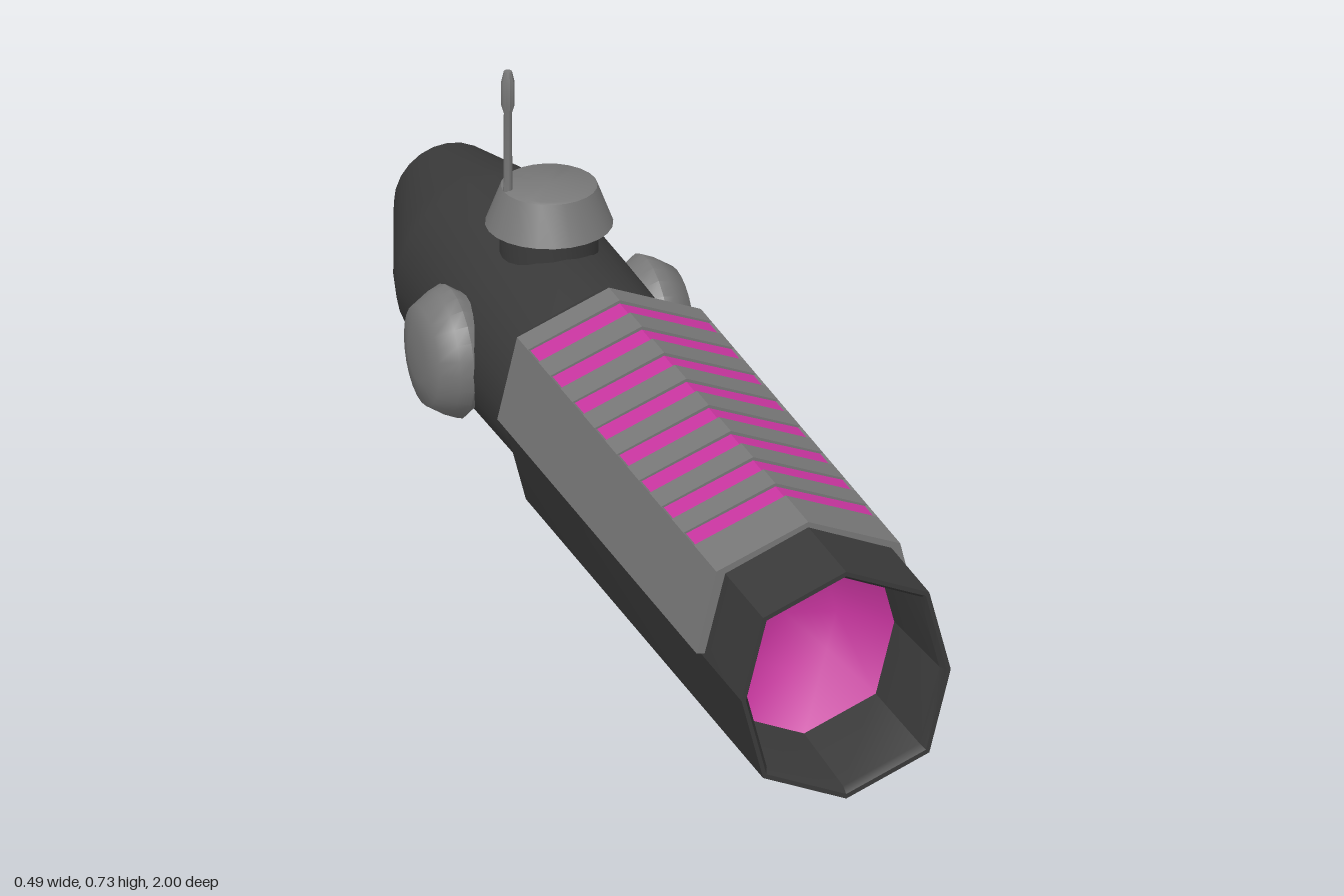
import * as THREE from 'three';
import { toCreasedNormals } from 'three/addons/utils/BufferGeometryUtils.js';

const mat = (color) => new THREE.MeshStandardMaterial({ color });

// Octagon with a ridge on top, slightly narrowed at the sides
const octagon = (z, s) => [[0.19, 0], [0.151, 0.151], [0, 0.214], [-0.151, 0.151],
  [-0.19, 0], [-0.151, -0.151], [0, -0.214], [0.151, -0.151]]
  .map(([x, y]) => [x * s, 0.217 + y * s, z]);

const circle = (z, r, y, n = 24) => Array.from({ length: n }, (_, i) => {
  const a = (i / n) * Math.PI * 2;
  return [r * Math.cos(a), y + r * Math.sin(a), z];
});

// Skin through closed cross-sections, outward when the rings run towards -z
function loft(rings, crease) {
  const n = rings[0].length, index = [];
  for (let i = 0; i < rings.length - 1; i++) {
    for (let j = 0; j < n; j++) {
      const a = i * n + j, b = i * n + (j + 1) % n, c = a + n, d = b + n;
      index.push(a, c, b, b, c, d);
    }
  }
  const g = new THREE.BufferGeometry();
  g.setAttribute('position', new THREE.Float32BufferAttribute(rings.flat(2), 3));
  g.setIndex(index);
  return toCreasedNormals(g, crease);
}

// Prism of an outline between two depths
function prism(points, z0, z1) {
  const shape = new THREE.Shape(points.map(([x, y]) => new THREE.Vector2(x, y)));
  const g = new THREE.ExtrudeGeometry(shape, { depth: z1 - z0, bevelEnabled: false });
  return g.translate(0, 0, z0);
}

const lathe = (points, sides, crease = 0.6) => toCreasedNormals(
  new THREE.LatheGeometry(points.map(([r, y]) => new THREE.Vector2(r, y)), sides), crease);

export function createModel() {
  const model = new THREE.Group();
  const dark = mat(0x3a3a3a), grey = mat(0x787878), pink = mat(0xc8359f);
  const add = (name, geometry, material, parent = model) => {
    const mesh = new THREE.Mesh(geometry, material);
    mesh.name = name;
    parent.add(mesh);
    return mesh;
  };

  // Hollow octagonal barrel: inner wall, rim, outside, chamfered back
  add('barrel', loft([octagon(0.78, 0.86), octagon(0.985, 0.92), octagon(1, 0.96), octagon(1, 1),
    octagon(-0.19, 1), octagon(-0.23, 0.95), octagon(-0.23, 0.001)], 0.5), dark);

  // Concave glowing lens inside the mouth
  add('lens', loft([octagon(0.69, 0.001), octagon(0.715, 0.45), octagon(0.79, 0.87)], 1.2), pink);

  // Round rear body tapering to a raised, recessed tail
  add('rearBody', loft([circle(-0.2, 0.172, 0.218), circle(-0.25, 0.178, 0.218),
    circle(-0.5, 0.181, 0.219), circle(-0.76, 0.18, 0.22), circle(-0.8, 0.171, 0.225),
    circle(-1, 0.0975, 0.258), circle(-1, 0.088, 0.258), circle(-0.92, 0.07, 0.255),
    circle(-0.92, 0.001, 0.255)], 0.5), dark);

  // Armour plate: two side panels and a ridged roof cut by pink chevrons
  const plate = new THREE.Group();
  plate.name = 'plate';
  model.add(plate);
  for (const s of [1, -1]) {
    const side = [[0.18, 0.222], [0.203, 0.225], [0.167, 0.374], [0.145, 0.365]];
    if (s < 0) side.reverse();
    add('sidePanel', prism(side.map(([x, y]) => [x * s, y]), -0.19, 0.81), grey, plate);
  }
  const roof = (lift) => [[0.145, 0.36], [0.167 - lift * 0.3, 0.374 - lift * 0.5], [0, 0.441 - lift],
    [-0.167 + lift * 0.3, 0.374 - lift * 0.5], [-0.145, 0.36], [0, 0.42]];
  let start = -0.19;
  for (let i = 0; i < 8; i++) {
    const z = -0.11 + i * 0.1115;
    add('roofPanel', prism(roof(0), start, z - 0.026), grey, plate);
    add('chevron', prism(roof(0.006), z - 0.026, z + 0.026), pink, plate);
    start = z + 0.026;
  }
  add('roofPanel', prism(roof(0), start, 0.81), grey, plate);

  // Turret on the rear body with its antenna
  const turret = new THREE.Group();
  turret.name = 'turret';
  turret.position.z = -0.49;
  model.add(turret);
  add('turretNeck', lathe([[0.085, 0.37], [0.085, 0.428]], 24), dark, turret);
  add('turretCap', lathe([[0, 0.424], [0.085, 0.424], [0.11, 0.432], [0.083, 0.503],
    [0.078, 0.506], [0, 0.507]], 24), grey, turret);
  add('antenna', lathe([[0.008, 0.49], [0.007, 0.65], [0.0115, 0.665], [0.0115, 0.71],
    [0.007, 0.729], [0, 0.73]], 10), grey, turret).position.x = -0.075;

  // Domed pods on both sides of the rear body
  for (const s of [1, -1]) {
    const pod = add(s > 0 ? 'leftPod' : 'rightPod', lathe([[0.09, 0.13], [0.105, 0.16],
      [0.117, 0.178], [0.108, 0.2], [0.088, 0.232], [0.045, 0.241], [0, 0.243]], 24, 1), grey);
    pod.rotation.z = -s * Math.PI / 2;
    pod.position.set(0, 0.217, -0.49);
  }
  return model;
}
